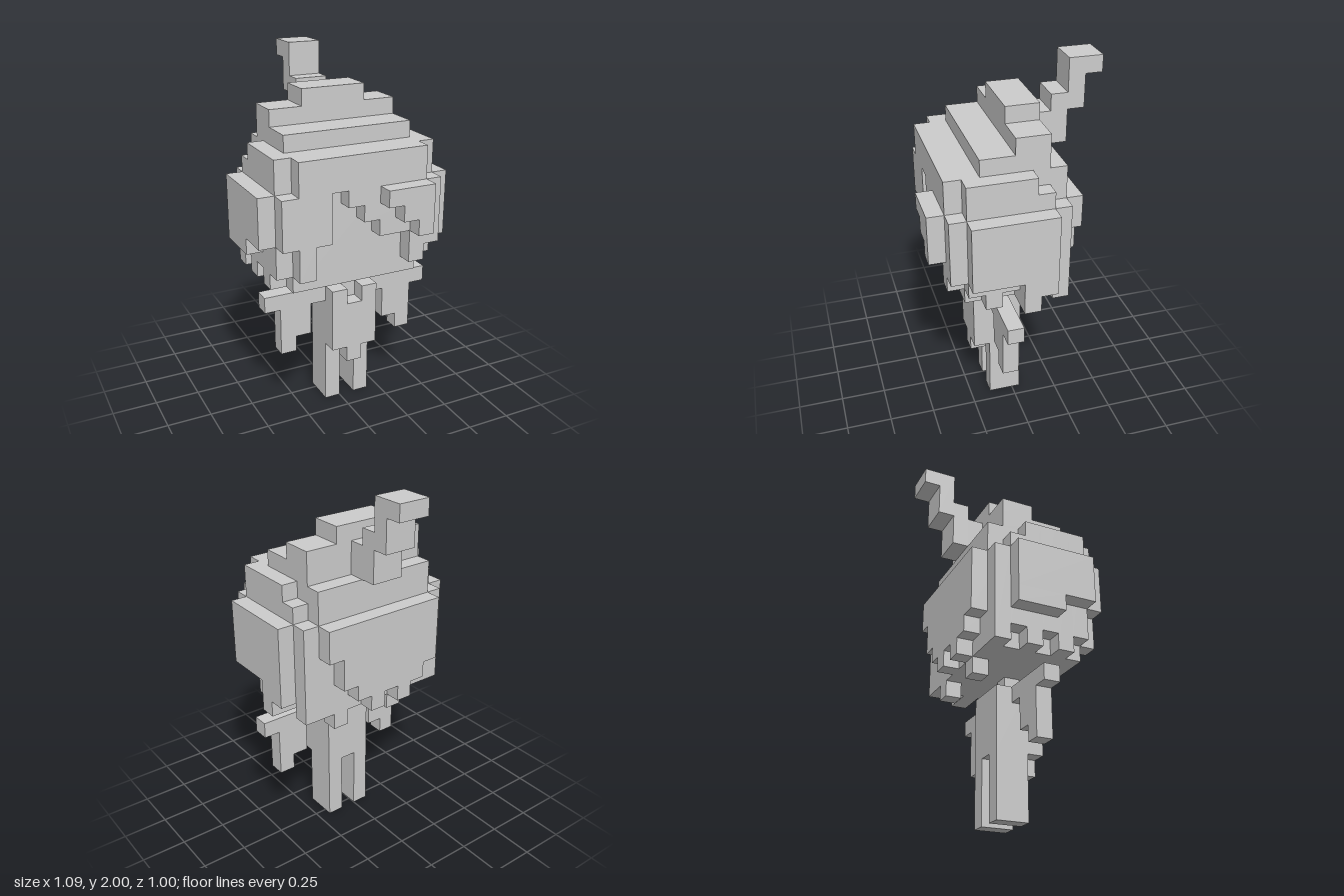
import * as THREE from 'three';

const U = 1 / 11; // size of one cube of the block grid

export function createModel() {
  const model = new THREE.Group();
  const material = new THREE.MeshStandardMaterial({ color: 0xcccccc, flatShading: true });

  function part(name) {
    const group = new THREE.Group();
    group.name = name;
    model.add(group);
    return group;
  }

  // Block from grid limits: x from the middle, y from the ground, z from the back
  function block(parent, name, x0, x1, y0, y1, z0, z1) {
    const geometry = new THREE.BoxGeometry((x1 - x0) * U, (y1 - y0) * U, (z1 - z0) * U);
    const mesh = new THREE.Mesh(geometry, material);
    mesh.name = name;
    mesh.position.set((x0 + x1) / 2 * U, (y0 + y1) / 2 * U, ((z0 + z1) / 2 - 5.5) * U);
    parent.add(mesh);
  }

  // Legs, body and neck
  const body = part('body');
  for (const x of [-1, 1]) block(body, 'leg', x, x + 1, 0, 4, 5, 7);
  block(body, 'torso', -1, 2, 4, 8, 5, 7);
  block(body, 'neck', 0, 1, 8, 9, 6, 7);

  // Apron with a notched collar and a pointed hem
  const apron = part('apron');
  block(apron, 'apronPanel', -1, 2, 4, 7, 7, 8);
  block(apron, 'apronTip', 0, 1, 3, 4, 7, 8);
  for (const x of [-1, 1]) block(apron, 'collar', x, x + 1, 7, 8, 7, 8);

  // Arms, mirrored about the body's middle at x = 0.5
  for (const side of [1, -1]) {
    const arm = part(side > 0 ? 'leftArm' : 'rightArm');
    const mirrored = (name, a, b, y0, y1) => {
      const [x0, x1] = side > 0 ? [a, b] : [1 - b, 1 - a];
      block(arm, name, x0, x1, y0, y1, 6, 7);
    };
    mirrored('upperArm', 2, 6, 7, 8);
    mirrored('sleeve', 3, 5, 5, 7);
    mirrored('sleeveTip', 4, 5, 4, 5);
  }

  // Head
  const head = part('head');
  block(head, 'skull', -4, 4, 9, 17, 3, 9);

  // Front hair framing the face: [x0, x1, y0, y1]
  const frontHair = part('frontHair');
  [
    [-4, 4, 15, 17], [-4, -2, 12, 15], [-4, -3, 10, 12],
    [-1, 4, 14, 15], [0, 4, 13, 14], [1, 4, 12, 13], [3, 4, 10, 12],
  ].forEach(r => block(frontHair, 'frontLock', ...r, 9, 10));

  // Swept fringe, stepping towards the left
  const fringe = part('fringe');
  for (let i = 0; i < 3; i++) block(fringe, 'fringeStep', 1 + i, 4, 14 - i, 15 - i, 10, 11);

  // Side hair in strands from back to front
  const tops = [15, 16, 17, 17, 17, 17, 15];
  const bottoms = { 1: [9, 10, 9, 10, 9, 10, 11], '-1': [9, 10, 9, 10, 9, 10, 12] };
  for (const side of [1, -1]) {
    const hair = part(side > 0 ? 'leftHair' : 'rightHair');
    const x = side > 0 ? 4 : -5;
    tops.forEach((top, i) =>
      block(hair, 'sideStrand', x, x + 1, bottoms[side][i], top, 3 + i, 4 + i));
  }

  // Outer side locks
  const leftLock = part('leftOuterLock');
  block(leftLock, 'lockPanel', 5, 6, 11, 15, 4, 9);
  block(leftLock, 'lockStep', 5, 6, 10, 11, 4, 6);
  block(leftLock, 'lockTip', 5, 6, 9, 10, 5, 6);
  const rightLock = part('rightOuterLock');
  block(rightLock, 'lockPanel', -6, -5, 12, 15, 4, 9);
  block(rightLock, 'lockStep', -6, -5, 11, 12, 4, 7);

  // Back hair tapering to separate strands: [x0, x1, y0, y1]
  const backHair = part('backHair');
  [
    [-4, 4, 13, 15], [-4, 3, 11, 13], [-3, 2, 10, 11], [-2, -1, 9, 10], [0, 1, 9, 10],
  ].forEach(r => block(backHair, 'backLock', ...r, 2, 3));
  for (const x of [-2, 2]) block(backHair, 'hangingStrand', x, x + 1, 8, 9, 3, 4);

  // Stepped cap
  const cap = part('cap');
  block(cap, 'capBrim', -4, 4, 17, 18, 4, 8);
  block(cap, 'capMiddle', -4, 4, 18, 19, 4, 6);
  block(cap, 'capTop', -2, 2, 19, 20, 4, 6);

  // Stalk rising backwards in steps: [y0, y1, z0, z1]
  const stalk = part('stalk');
  [[17, 19, 3, 4], [17, 20, 2, 3], [19, 22, 1, 2], [21, 22, 0, 1]]
    .forEach(r => block(stalk, 'stalkStep', -1, 1, ...r));

  return model;
}
